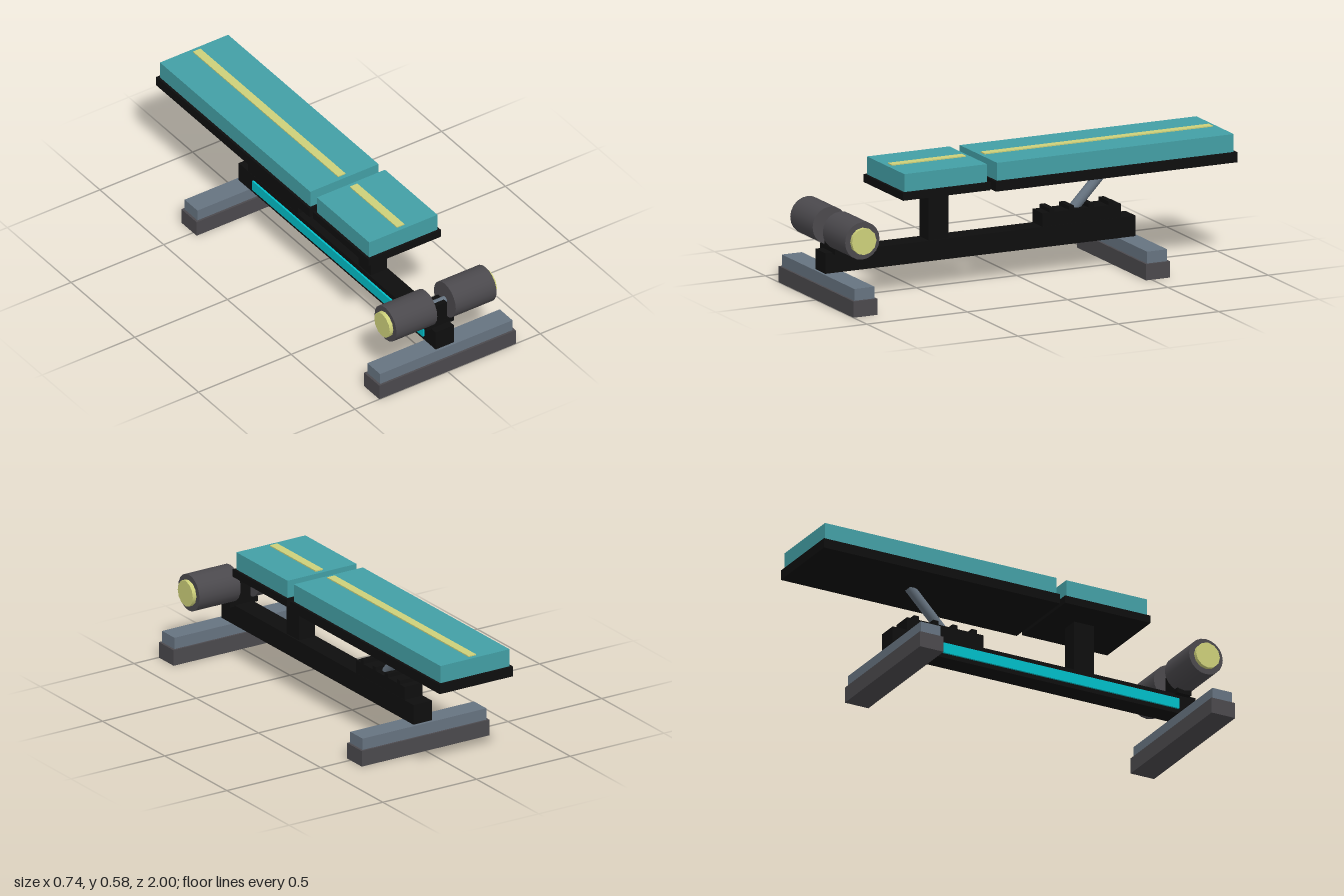
import * as THREE from 'three';

const mat = (name, color, flatShading = false) => {
  const m = new THREE.MeshStandardMaterial({ color, flatShading });
  m.name = name;
  return m;
};

export function createModel() {
  const teal = mat('teal upholstery', 0x439fa5);
  const black = mat('black frame', 0x0e0e0e);
  const steel = mat('grey steel', 0x667380);
  const rubber = mat('dark rubber', 0x4b494d);
  const yellow = mat('pale yellow trim', 0xcdd07a);
  const cyan = mat('cyan stripe', 0x00bec8);

  const model = new THREE.Group();
  model.name = 'adjustableBench';

  const add = (name, geometry, material) => {
    const mesh = new THREE.Mesh(geometry, material);
    mesh.name = name;
    model.add(mesh);
    return mesh;
  };
  // Box given by its limits on each axis
  const box = (name, material, [x0, x1], [y0, y1], [z0, z1]) =>
    add(name, new THREE.BoxGeometry(x1 - x0, y1 - y0, z1 - z0), material)
      .position.set((x0 + x1) / 2, (y0 + y1) / 2, (z0 + z1) / 2);
  const wide = (w) => [-w, w];
  // Cylinder lying along x
  const rod = (name, material, r, x0, x1, y, z, sides) => {
    const g = new THREE.CylinderGeometry(r, r, x1 - x0, sides).rotateZ(Math.PI / 2);
    add(name, g, material).position.set((x0 + x1) / 2, y, z);
  };

  // Feet: rubber base with a steel crossbar on top
  for (const [name, z, w] of [['front', 0.94, 0.368], ['rear', -0.532, 0.341]]) {
    box(name + 'FootPad', rubber, wide(w), [0, 0.074], [z - 0.06, z + 0.06]);
    box(name + 'FootBar', steel, wide(w - 0.011), [0.074, 0.128], [z - 0.05, z + 0.05]);
  }

  // Main beam, its side stripe and the seat post
  box('mainBeam', black, wide(0.049), [0.128, 0.222], [-0.567, 0.978]);
  box('beamStripe', cyan, [-0.058, -0.049], [0.149, 0.198], [-0.45, 0.89]);
  box('seatPost', black, wide(0.043), [0.222, 0.46], [0.362, 0.462]);

  // Padded sections: board, cushion and centre stripe
  for (const [name, z0, z1, bottom] of [['seat', 0.23, 0.665, 0.46], ['backrest', -1, 0.203, 0.45]]) {
    box(name + 'Board', black, wide(0.196), [bottom, 0.496], [z0, z1]);
    box(name + 'Cushion', teal, wide(0.184), [0.496, 0.578], [z0 + 0.012, z1 - 0.012]);
    box(name + 'Stripe', yellow, wide(0.02), [0.578, 0.583], [z0 + 0.033, z1 - 0.033]);
  }

  // Toothed adjustment rack
  box('rack', black, wide(0.048), [0.222, 0.284], [-0.494, -0.103]);
  for (const z of [-0.151, -0.249, -0.347, -0.445])
    box('rackTooth', black, wide(0.048), [0.284, 0.302], [z - 0.013, z + 0.013]);

  // Slanted support strut
  const a = new THREE.Vector3(0, 0.28, -0.283);
  const b = new THREE.Vector3(0, 0.458, -0.455);
  const dir = b.clone().sub(a);
  const strut = add('supportStrut', new THREE.CylinderGeometry(0.024, 0.024, dir.length(), 12), steel);
  strut.position.copy(a).add(b).multiplyScalar(0.5);
  strut.quaternion.setFromUnitVectors(new THREE.Vector3(0, 1, 0), dir.normalize());

  // Leg rollers on an axle
  box('rollerPlate', black, wide(0.074), [0.216, 0.24], [0.87, 0.942]);
  box('rollerStem', black, wide(0.037), [0.222, 0.332], [0.872, 0.94]);
  rod('rollerAxle', steel, 0.017, -0.06, 0.06, 0.32, 0.906, 12);
  for (const s of [-1, 1]) {
    const span = (p, q) => (s > 0 ? [p, q] : [-q, -p]);
    rod('legRoller', rubber, 0.086, ...span(0.05, 0.27), 0.32, 0.906, 20);
    rod('rollerCap', yellow, 0.061, ...span(0.27, 0.289), 0.32, 0.906, 12);
  }

  return model;
}
